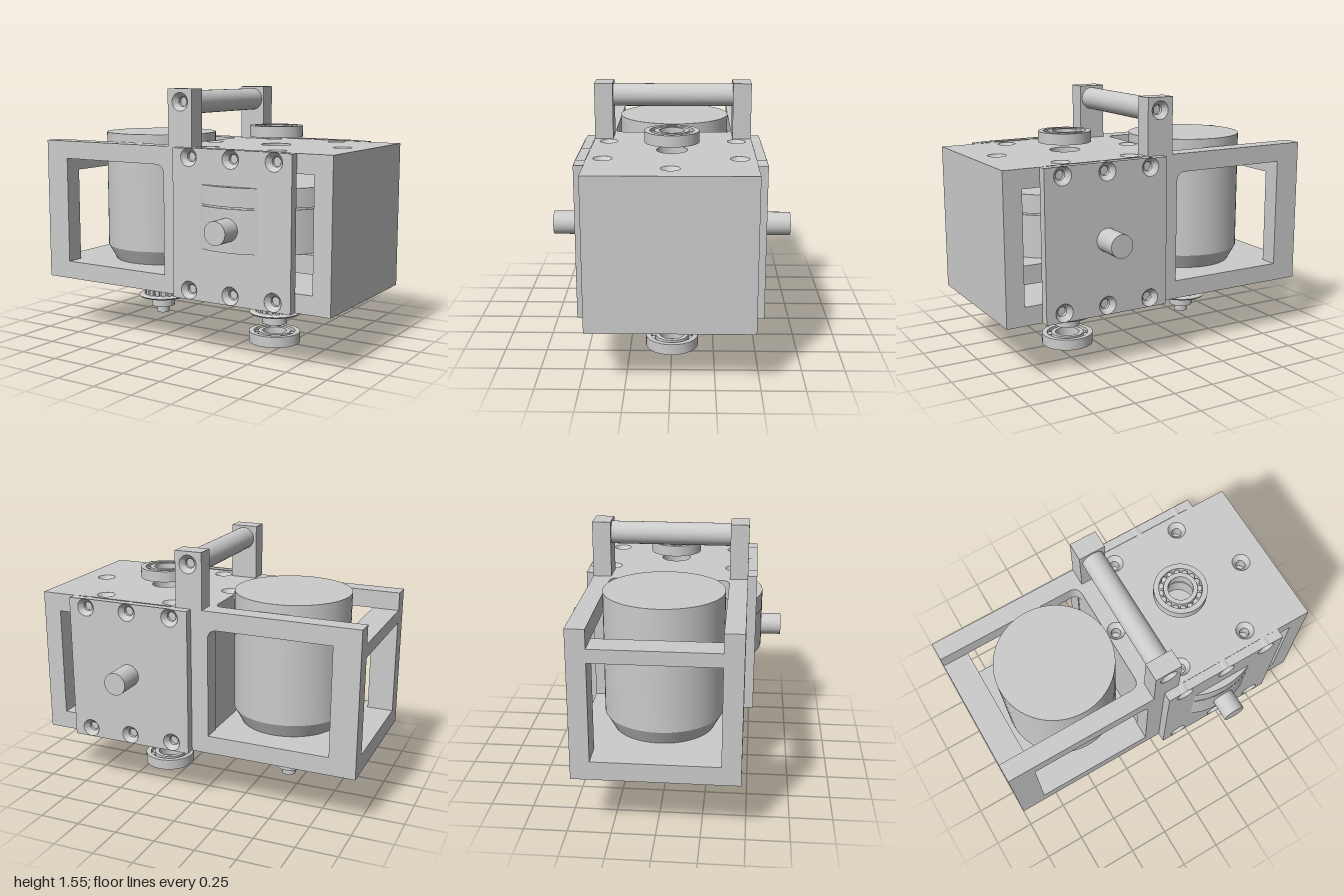
import * as THREE from 'three';
import { toCreasedNormals } from 'three/addons/utils/BufferGeometryUtils.js';

const mat = new THREE.MeshStandardMaterial({ color: 0xcccccc, side: THREE.DoubleSide });
const HOLE = 0.054;

export function createModel() {
  const model = new THREE.Group();

  const add = (name, geo, x = 0, y = 0, z = 0) => {
    const mesh = new THREE.Mesh(geo, mat);
    mesh.name = name;
    mesh.position.set(x, y, z);
    model.add(mesh);
    return mesh;
  };
  // Box given by its limits
  const box = (name, x0, x1, y0, y1, z0, z1) =>
    add(name, new THREE.BoxGeometry(x1 - x0, y1 - y0, z1 - z0), (x0 + x1) / 2, (y0 + y1) / 2, (z0 + z1) / 2);
  const rect = (x0, x1, y0, y1) => new THREE.Shape([
    new THREE.Vector2(x0, y0), new THREE.Vector2(x1, y0), new THREE.Vector2(x1, y1), new THREE.Vector2(x0, y1)]);
  const drill = (shape, x, y, r = HOLE) => {
    const p = new THREE.Path();
    p.absarc(x, y, r, 0, Math.PI * 2, true);
    shape.holes.push(p);
  };
  const extrude = (shape, depth) => toCreasedNormals(
    new THREE.ExtrudeGeometry(shape, { depth, bevelEnabled: false, curveSegments: 16 }), 0.6);
  // Horizontal slab: shape is drawn in x and z, top surface at y
  const slab = (name, shape, y, depth) => add(name, extrude(shape, depth).rotateX(Math.PI / 2), 0, y, 0);
  const lathe = (name, pts, x, y, z, seg = 48) => add(name,
    toCreasedNormals(new THREE.LatheGeometry(pts.map(p => new THREE.Vector2(...p)), seg), 0.5), x, y, z);
  const cyl = (name, r, y0, y1, x, z = 0) =>
    add(name, new THREE.CylinderGeometry(r, r, y1 - y0, 48), x, (y0 + y1) / 2, z);
  // Countersunk lining that fills a drilled hole, opening towards +y
  const cup = (x, y, z, depth) => lathe('screwHole',
    [[0, -depth], [0.028, -depth], [0.028, -0.03], [HOLE, 0]], x, y, z, 24);

  // Floor with motor screw holes
  const floor = rect(-1, 1, -0.47, 0.47);
  for (const sx of [-1, 1]) for (const sz of [-1, 1]) {
    drill(floor, -0.445 + sx * 0.15, sz * 0.15, 0.042);
    cyl('motorScrew', 0.042, 0.4, 0.44, -0.445 + sx * 0.15, sz * 0.15);
  }
  slab('floor', floor, 0.45, 0.11);

  // Roof: two rails round the motor bay, solid above the gear bay
  const roof = new THREE.Shape();
  roof.moveTo(-1, -0.47);
  roof.lineTo(1, -0.47);
  roof.lineTo(1, 0.47);
  roof.lineTo(-1, 0.47);
  roof.lineTo(-1, 0.36);
  roof.lineTo(-0.15, 0.36);
  roof.quadraticCurveTo(-0.09, 0.36, -0.09, 0.3);
  roof.lineTo(-0.09, -0.3);
  roof.quadraticCurveTo(-0.09, -0.36, -0.15, -0.36);
  roof.lineTo(-1, -0.36);
  const roofHoles = [[0.175, 0.38], [0.175, -0.38], [0.615, 0.38], [0.615, -0.38], [0.835, 0], [-0.035, 0]];
  for (const [x, z] of roofHoles) {
    drill(roof, x, z, HOLE);
    cup(x, 1.22, z, 0.1);
  }
  drill(roof, 0.4, 0, 0.09);
  slab('roof', roof, 1.22, 0.11);

  // Middle column has a rounded corner under the roof
  const column = new THREE.Shape();
  column.moveTo(0.12, 0.45);
  column.lineTo(-0.095, 0.45);
  column.lineTo(-0.095, 1.05);
  column.quadraticCurveTo(-0.095, 1.11, -0.155, 1.11);
  column.lineTo(0.12, 1.11);

  // Parts repeated on front and back
  for (const s of [-1, 1]) {
    const zr = s > 0 ? [0.36, 0.47] : [-0.47, -0.36];
    box('cornerPost', -1, -0.84, 0.45, 1.11, ...zr);
    add('middlePost', extrude(column, 0.11), 0, 0, zr[0]);

    // Cover plate with six screws
    const plate = rect(0.01, 0.785, 0.34, 1.22);
    // Handle upright
    const upright = rect(-0.06, 0.105, 1.22, 1.555);
    const spots = [[0.025, 1.48, 0.47]];
    drill(upright, 0.025, 1.48);
    for (const x of [0.12, 0.4, 0.675]) for (const y of [0.395, 1.17]) {
      drill(plate, x, y);
      spots.push([x, y, 0.525]);
    }
    add('coverPlate', extrude(plate, 0.055), 0, 0, s > 0 ? 0.47 : -0.525);
    add('handleUpright', extrude(upright, 0.11), 0, 0, zr[0]);
    for (const [x, y, z] of spots) cup(x, y, s * z, 0.05).rotation.x = s * Math.PI / 2;

    // Side shaft
    const shaft = cyl('sideShaft', 0.068, 0, 0.22, 0.4);
    shaft.position.set(0.4, 0.78, s * 0.58);
    shaft.rotation.x = Math.PI / 2;
  }
  box('endWall', 0.89, 1, 0.45, 1.11, -0.47, 0.47);
  box('middleWall', -0.09, 0.01, 0.45, 1.11, -0.36, 0.36);
  box('gearShelf', 0.01, 0.89, 0.54, 0.65, -0.36, 0.36);
  box('endBar', -1, -0.84, 1.03, 1.11, -0.36, 0.36);

  // Handle rod
  const rod = cyl('handleRod', 0.068, 0, 0.74, 0.025);
  rod.position.set(0.025, 1.475, 0);
  rod.rotation.x = Math.PI / 2;

  // Stacked discs in the gear bay
  cyl('lowerDisc', 0.47, 0.65, 0.9, 0.387, 0.095);
  cyl('discGroove', 0.462, 0.9, 0.91, 0.387, 0.095);
  cyl('upperDisc', 0.47, 0.91, 1.02, 0.387, 0.095);

  // Motor and its output shaft
  lathe('motor', [[0, 0.45], [0.3, 0.45], [0.35, 0.54], [0.35, 1.27], [0, 1.27]], -0.445, 0, 0, 64);
  cyl('motorShaft', 0.042, 0.075, 0.4, -0.445);

  // Toothed pulleys below the floor
  const TEETH = 18;
  const gear = new THREE.Shape();
  for (let i = 0; i < TEETH; i++) {
    [[0, 0.105], [0.3, 0.105], [0.36, 0.122], [0.94, 0.122]].forEach(([f, r], k) => {
      const a = (i + f) / TEETH * Math.PI * 2;
      gear[i + k ? 'lineTo' : 'moveTo'](r * Math.cos(a), r * Math.sin(a));
    });
  }
  for (const x of [-0.445, 0.4]) {
    const teeth = slab('pulleyTeeth', gear, 0.33, 0.14);
    teeth.position.x = x;
    lathe('upperFlange', [[0, 0.322], [0.145, 0.322], [0.157, 0.33], [0.15, 0.34], [0, 0.34]], x, 0, 0);
    lathe('lowerFlange', [[0, 0.183], [0.15, 0.183], [0.157, 0.192], [0.145, 0.2], [0, 0.2]], x, 0, 0);
    lathe('pulleyHub', [[0.042, 0.19], [0.042, 0.12], [0.076, 0.12], [0.076, 0.19]], x, 0, 0);
  }

  // Ball bearings above and below the gear bay
  const ring = (name, r0, r1, y) => lathe(name,
    [[r0, -0.033], [r1, -0.033], [r1, 0.033], [r0, 0.033], [r0, -0.033]], 0.4, y, 0);
  for (const y of [1.302, 0.038]) {
    ring('bearingOuterRing', 0.127, 0.158, y);
    ring('bearingInnerRing', 0.074, 0.1, y);
    for (let i = 0; i < 16; i++) {
      const a = i / 16 * Math.PI * 2;
      add('bearingBall', new THREE.SphereGeometry(0.019, 12, 8),
        0.4 + 0.1135 * Math.cos(a), y, 0.1135 * Math.sin(a));
    }
  }
  return model;
}
